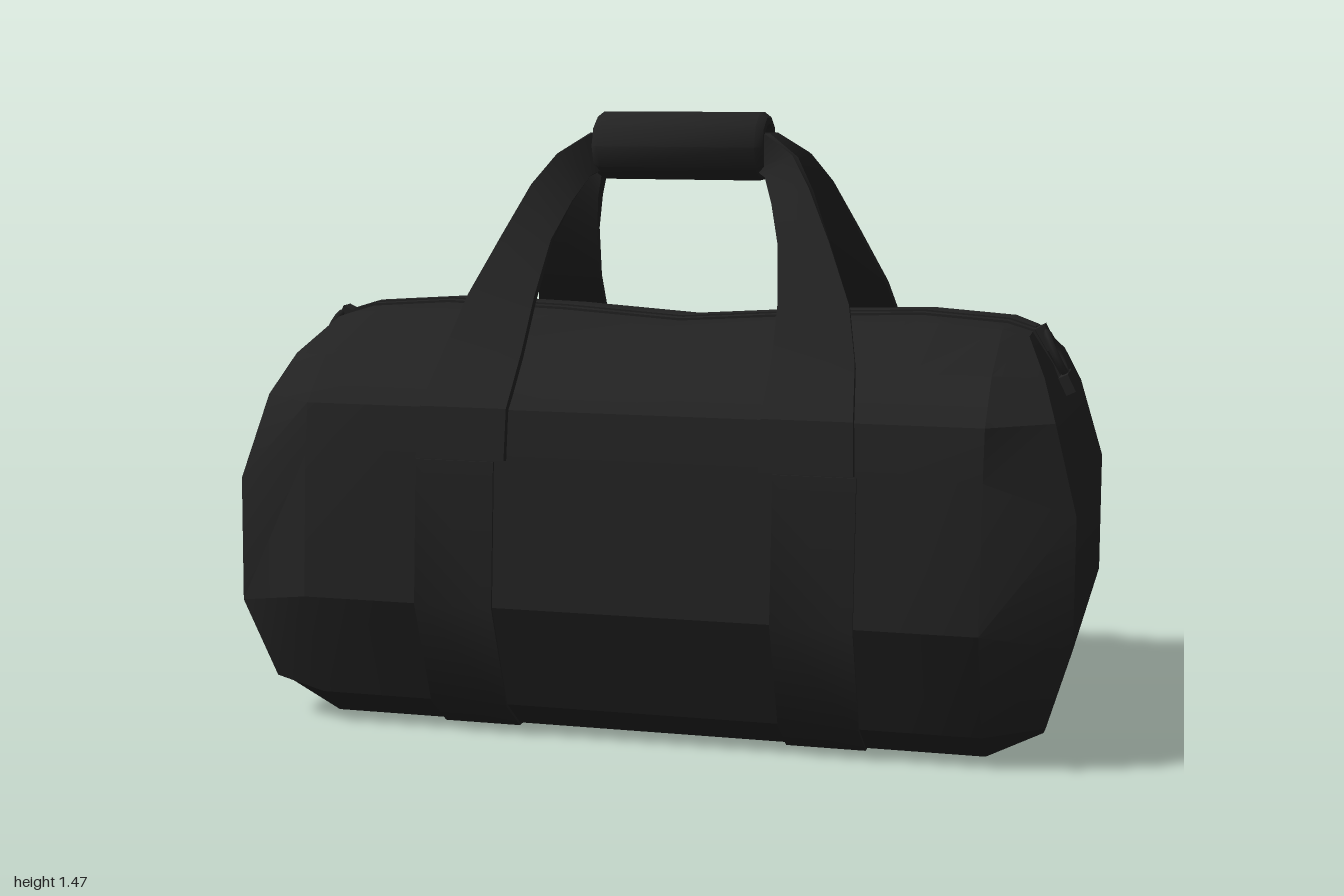
import * as THREE from 'three';
import { toCreasedNormals } from 'three/addons/utils/BufferGeometryUtils.js';

const V = (x, y, z) => new THREE.Vector3(x, y, z);

// Skin a row of closed rings and close both ends
function loft(rings, crease = 0.42) {
  const n = rings[0].length, last = rings.length - 1, index = [];
  const at = (i, j) => i * n + (j % n);
  const quad = (a, b, c, d) => index.push(a, b, c, a, c, d);
  for (let i = 0; i < last; i++)
    for (let j = 0; j < n; j++) quad(at(i, j), at(i + 1, j), at(i + 1, j + 1), at(i, j + 1));
  for (let j = 0; j < n / 2; j++) {
    quad(at(last, n - j), at(last, n - j - 1), at(last, j + 1), at(last, j));
    quad(at(0, j), at(0, j + 1), at(0, n - j - 1), at(0, n - j));
  }
  const g = new THREE.BufferGeometry();
  g.setAttribute('position', new THREE.Float32BufferAttribute(rings.flat().flatMap(p => p.toArray()), 3));
  g.setIndex(index);
  return toCreasedNormals(g, crease);
}

// Flat webbing given by pairs of edge points [outer, inner]
function webbing(rows, half) {
  const mid = rows.map(([o, i]) => o.clone().add(i).multiplyScalar(0.5));
  return loft(rows.map(([o, i], k) => {
    const t = mid[Math.min(k + 1, rows.length - 1)].clone().sub(mid[Math.max(k - 1, 0)]);
    const nrm = o.clone().sub(i).cross(t).normalize().multiplyScalar(half);
    return [o.clone().add(nrm), i.clone().add(nrm), i.clone().sub(nrm), o.clone().sub(nrm)];
  }), 0.6);
}

// Half sections from bottom centre to top centre: [z, y] and, for the ends, [z, y, x]
const SECTION = [[0, 0.008], [0.325, 0.008], [0.42, 0.08], [0.522, 0.34], [0.495, 0.68],
  [0.475, 0.8], [0.36, 0.9], [0.16, 0.997], [0, 1]];
const END = [[0, 0.07, 0.93], [0.31, 0.07, 0.93], [0.375, 0.1, 0.94], [0.43, 0.3, 1], [0.42, 0.6, 1],
  [0.37, 0.8, 0.945], [0.28, 0.89, 0.91], [0.13, 0.965, 0.86], [0, 0.968, 0.86]];

// Full ring from a half section
const ring = (half, f) => [...half.map(p => f(p, 1)), ...half.slice(1, -1).reverse().map(p => f(p, -1))];

// Slight sag of the top along the length
const STATIONS = [[-0.8, 0.014], [-0.6, 0], [-0.3, 0.01], [0, 0.03], [0.3, 0.01], [0.6, 0], [0.8, 0.014]];

export function createModel() {
  const bag = new THREE.Group();
  bag.name = 'duffelBag';
  const fabric = new THREE.MeshStandardMaterial({ color: 0x222222 });
  fabric.name = 'blackFabric';
  const add = (name, geo, parent = bag) => {
    const m = new THREE.Mesh(geo, fabric);
    m.name = name;
    parent.add(m);
    return m;
  };

  // Body
  const endRing = s => ring(END, ([z, y, x], k) => V(s * x, y, k * z));
  add('body', loft([
    endRing(-1),
    ...STATIONS.map(([x, sag]) => ring(SECTION, ([z, y], k) => V(x, y > 0.95 ? y - sag : y, k * z))),
    endRing(1),
  ]));

  // Zip: wide flap with a narrow row of teeth on top
  const zipPath = [[-0.93, 0.85], [-0.86, 0.968], ...STATIONS.map(([x, s]) => [x, 1 - s]), [0.86, 0.968], [0.93, 0.85]];
  const zip = (w, lift) => webbing(zipPath.map(([x, y]) => [V(x, y + lift, w), V(x, y + lift, -w)]), 0.005);
  add('zipFlap', zip(0.045, 0));
  add('zipTeeth', zip(0.014, 0.004));

  // Zip pulls hanging over both ends
  for (const s of [1, -1]) {
    const pull = new THREE.Group();
    pull.name = 'zipPull';
    pull.position.set(s * 0.91, 0.9, 0.035);
    pull.rotation.z = s * 0.46;
    add('slider', new THREE.BoxGeometry(0.03, 0.06, 0.045), pull).position.set(0, 0.055, -0.02);
    const loop = add('pullLoop', new THREE.TorusGeometry(0.03, 0.009, 6, 12), pull);
    loop.rotation.y = Math.PI / 2;
    loop.scale.set(1, 1.7, 1);
    loop.position.set(s * 0.012, 0.01, 0);
    add('pullTab', new THREE.BoxGeometry(0.024, 0.045, 0.11), pull).position.set(s * 0.01, -0.062, 0.005);
    bag.add(pull);
  }

  // Four carrying straps, rising and twisting into the grip
  const strap = [
    [[0.515, 0.685, 0.505], [0.3, 0.685, 0.505]],
    [[0.51, 0.8, 0.485], [0.3, 0.8, 0.485]],
    [[0.492, 0.915, 0.368], [0.3, 0.915, 0.368]],
    [[0.462, 1.04, 0.28], [0.295, 1.04, 0.28]],
    [[0.4, 1.18, 0.205], [0.278, 1.17, 0.2]],
    [[0.345, 1.3, 0.152], [0.25, 1.26, 0.125]],
    [[0.295, 1.375, 0.095], [0.222, 1.32, 0.065]],
    [[0.22, 1.425, 0.055], [0.19, 1.34, 0.035]],
    [[0.16, 1.425, 0.045], [0.15, 1.35, 0.03]],
  ];
  for (const sx of [1, -1]) {
    for (const sz of [1, -1]) {
      add('carryStrap', webbing(strap.map(pair => pair.map(([x, y, z]) => V(sx * x, y, sz * z))), 0.01));
    }
    // Band running under the body from one strap foot to the other
    const side = SECTION.slice(1, 5);
    const path = [...side.slice().reverse(), ...side.map(([z, y]) => [-z, y])];
    add('underBand', webbing(path.map(([z, y]) => [V(sx * 0.52, y, z), V(sx * 0.33, y, z)]), 0.007));
  }

  // Wrapped grip with recessed ends
  const profile = [[0.05, -0.17], [0.06, -0.212], [0.078, -0.212], [0.092, -0.195],
    [0.092, 0.195], [0.078, 0.212], [0.06, 0.212], [0.05, 0.17]];
  const gripGeo = new THREE.LatheGeometry([[0, -0.17], ...profile, [0, 0.17]].map(p => new THREE.Vector2(...p)), 10);
  gripGeo.rotateZ(Math.PI / 2);
  gripGeo.scale(1, 0.93, 1.04);
  add('grip', toCreasedNormals(gripGeo, 0.7)).position.y = 1.394;

  return bag;
}
